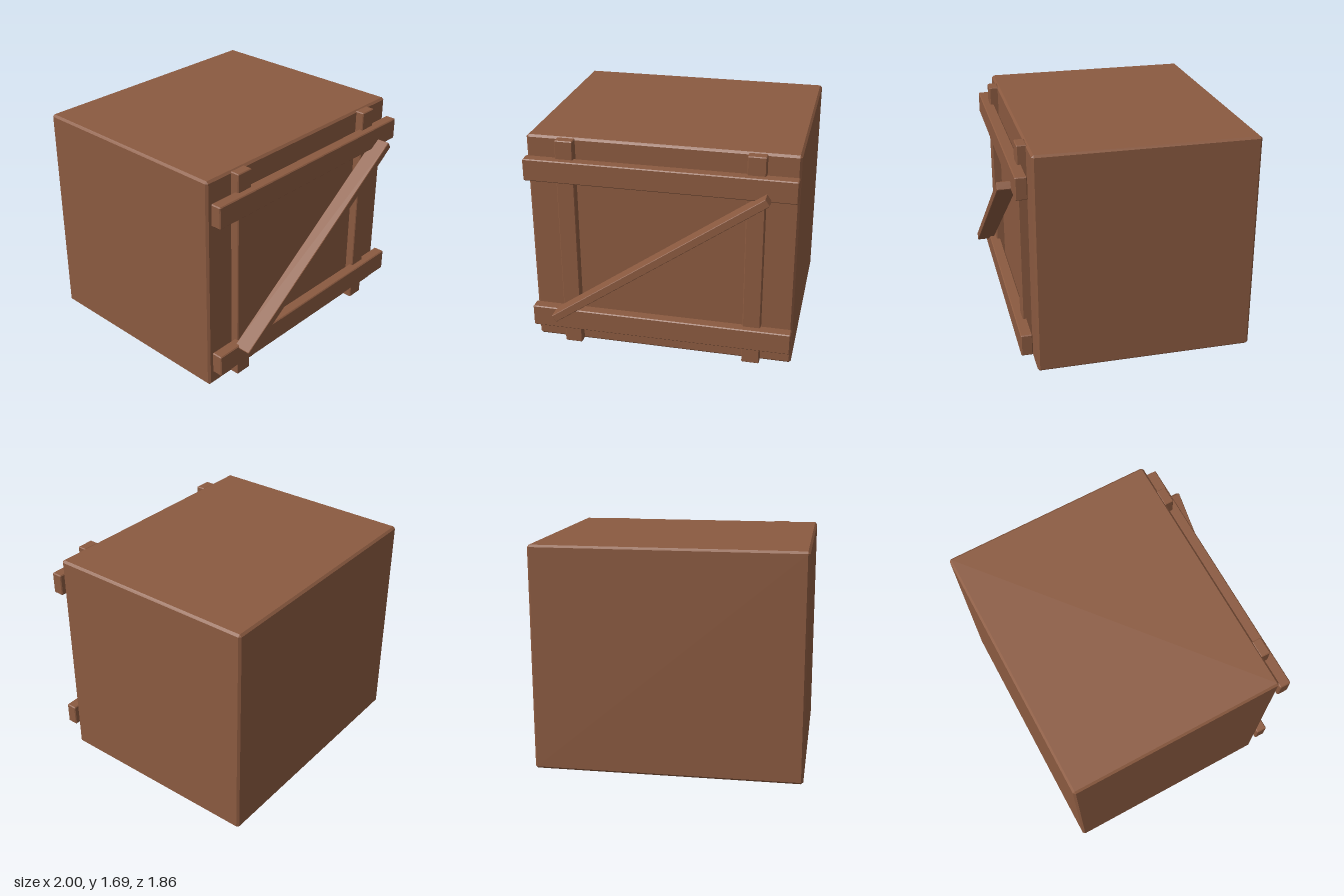
import * as THREE from 'three';
import { ConvexGeometry } from 'three/addons/geometries/ConvexGeometry.js';

// Box with every edge cut by a flat chamfer: three corner points per corner
function chamferBox(w, h, d, c) {
  const half = [w / 2, h / 2, d / 2];
  const points = [];
  for (const sx of [-1, 1]) for (const sy of [-1, 1]) for (const sz of [-1, 1]) {
    const sign = [sx, sy, sz];
    for (let face = 0; face < 3; face++) {
      const p = half.map((v, i) => sign[i] * (i === face ? v : v - c));
      points.push(new THREE.Vector3(...p));
    }
  }
  return new ConvexGeometry(points);
}

export function createModel() {
  const group = new THREE.Group();
  const wood = new THREE.MeshStandardMaterial({ color: 0x8b5a40 });
  wood.name = 'brownWood';

  function add(name, size, position, chamfer) {
    const mesh = new THREE.Mesh(chamferBox(...size, chamfer), wood);
    mesh.name = name;
    mesh.position.set(...position);
    group.add(mesh);
    return mesh;
  }

  // Crate body
  add('crateBody', [2, 1.69, 1.64], [0, 0.845, -0.11], 0.016);

  // Upright boards on the front
  for (const [name, side] of [['leftUpright', 1], ['rightUpright', -1]]) {
    add(name, [0.134, 1.68, 0.075], [side * 0.698, 0.845, 0.738], 0.006);
  }

  // Horizontal rails across the uprights
  for (const [name, y] of [['lowerRail', 0.237], ['upperRail', 1.461]]) {
    add(name, [1.995, 0.168, 0.086], [0, y, 0.785], 0.007);
  }

  // Diagonal brace in front of the rails
  const brace = add('diagonalBrace', [1.955, 0.06, 0.135], [0, 0.85, 0.858], 0.004);
  brace.rotation.z = Math.atan2(1.13, 1.595);

  return group;
}
